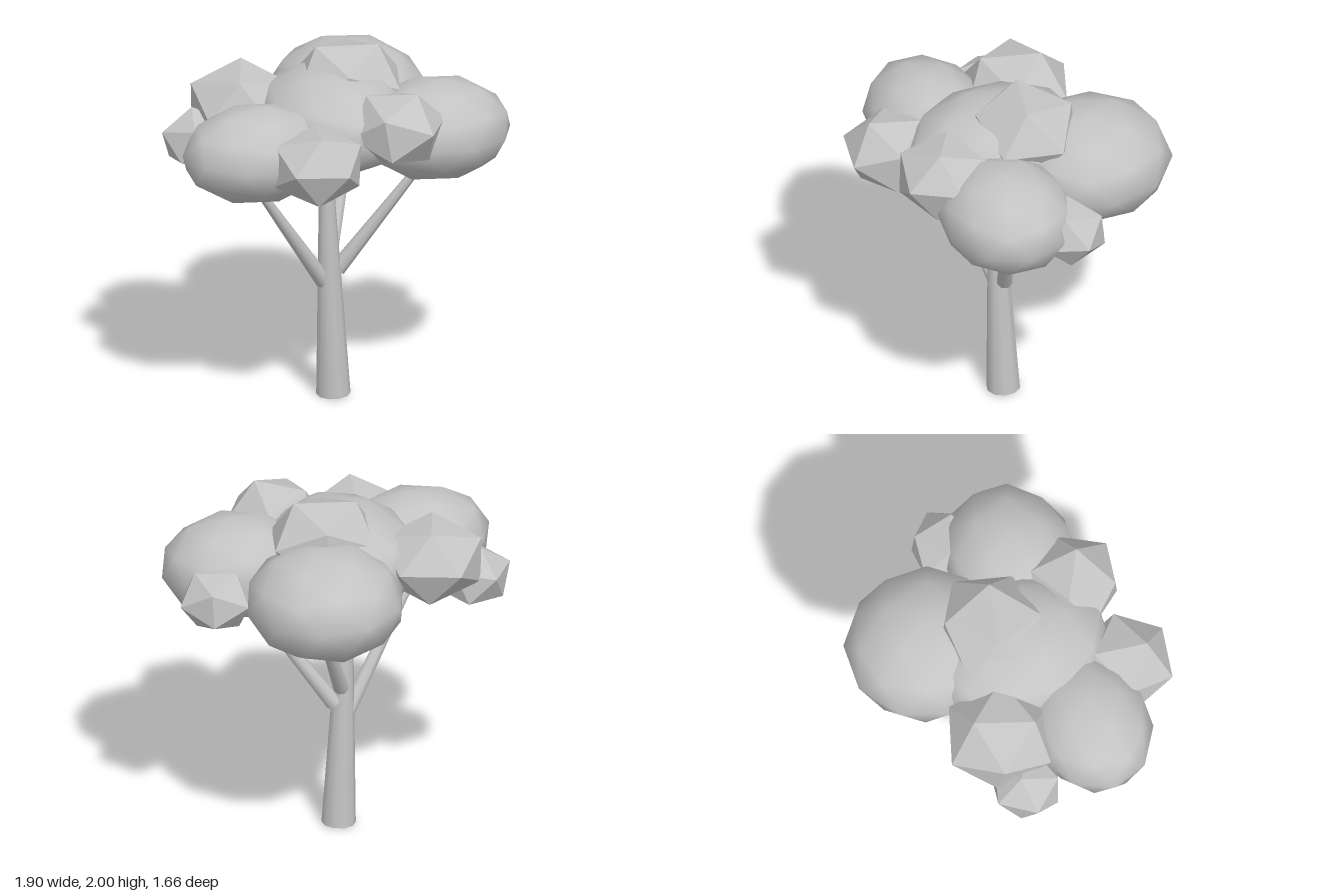
import * as THREE from 'three';

const V = (p) => new THREE.Vector3(...p);

// Orthonormal frame whose first axis is a and whose second leans towards b
function frame(a, b) {
  const x = V(a).normalize();
  const z = new THREE.Vector3().crossVectors(x, V(b)).normalize();
  const y = new THREE.Vector3().crossVectors(z, x);
  return new THREE.Matrix4().makeBasis(x, y, z);
}

export function createModel() {
  const tree = new THREE.Group();
  tree.name = 'tree';
  const gray = new THREE.MeshStandardMaterial({ color: 0xc4c4c4, side: THREE.DoubleSide });
  gray.name = 'plain gray';

  function add(name, geometry) {
    const mesh = new THREE.Mesh(geometry, gray);
    mesh.name = name;
    tree.add(mesh);
    return mesh;
  }

  // Tapered open tube between two points
  function limb(name, from, to, r0, r1, sides) {
    const start = V(from), end = V(to);
    const dir = end.clone().sub(start);
    const mesh = add(name, new THREE.CylinderGeometry(r1, r0, dir.length(), sides, 1, true));
    mesh.position.copy(start).add(end).multiplyScalar(0.5);
    mesh.quaternion.setFromUnitVectors(new THREE.Vector3(0, 1, 0), dir.normalize());
  }

  // Squashed icosahedron; one corner points along a, a neighbouring one towards b
  const t = (1 + Math.sqrt(5)) / 2;
  const source = frame([0, 1, t], [0, -1, t]).transpose();
  function clump(name, detail, center, radii, a, b) {
    const geometry = new THREE.IcosahedronGeometry(1, detail);
    geometry.applyMatrix4(frame(a, b).multiply(source));
    const mesh = add(name, geometry);
    mesh.position.set(...center);
    mesh.scale.set(...radii);
  }

  // Trunk, leaning slightly
  limb('trunk', [-0.004, 0.005, 0.033], [-0.064, 1.5, 0.062], 0.094, 0.03, 10);

  // Three branches, each reaching into a large crown
  limb('rightBranch', [-0.065, 0.67, 0.045], [-0.56, 1.4, 0.24], 0.045, 0.021, 8);
  limb('leftBranch', [0.02, 0.73, 0.035], [0.48, 1.4, 0.22], 0.046, 0.021, 8);
  limb('rearBranch', [-0.01, 0.83, 0.01], [0.24, 1.4, -0.33], 0.043, 0.023, 8);

  // Smooth large crowns
  const crowns = [
    ['rightCrown', [-0.53, 1.555, 0.25], [0.425, 0.27, 0.34]],
    ['leftCrown', [0.51, 1.565, 0.25], [0.425, 0.28, 0.37]],
    ['rearCrown', [0.23, 1.58, -0.38], [0.44, 0.307, 0.455]],
    ['middleCrown', [-0.02, 1.63, 0.06], [0.43, 0.285, 0.52]],
  ];
  for (const [name, center, radii] of crowns) {
    clump(name, 1, center, radii, [0.1, 1, 0.05], [0.9, 0.3, 0.4]);
  }

  // Faceted small leaf clumps
  const clumps = [
    ['frontRightClump', [-0.3, 1.565, 0.57], [0.28, 0.22, 0.28], [0.31, 0.05, 0.9], [-0.14, 1, 0.31]],
    ['frontLeftClump', [0.2, 1.69, 0.49], [0.275, 0.225, 0.275], [0.35, 0.95, 0.22], [0.37, 0, 0.85]],
    ['topClump', [0.11, 1.79, -0.05], [0.33, 0.245, 0.31], [0.47, 0.85, 0.2], [-0.57, 0.85, -0.1]],
    ['rearRightClump', [-0.44, 1.66, -0.24], [0.32, 0.235, 0.32], [0.15, 0.9, -0.42], [-0.2, 0, -0.97]],
    ['smallRightClump', [-0.7, 1.5, -0.2], [0.22, 0.18, 0.21], [-0.9, 0.3, -0.1], [0, 1, -0.2]],
    ['smallLeftClump', [0.73, 1.515, -0.03], [0.22, 0.18, 0.22], [1, 0, -0.1], [0.35, 0.9, 0.35]],
  ];
  for (const [name, ...rest] of clumps) clump(name, 0, ...rest);

  return tree;
}
